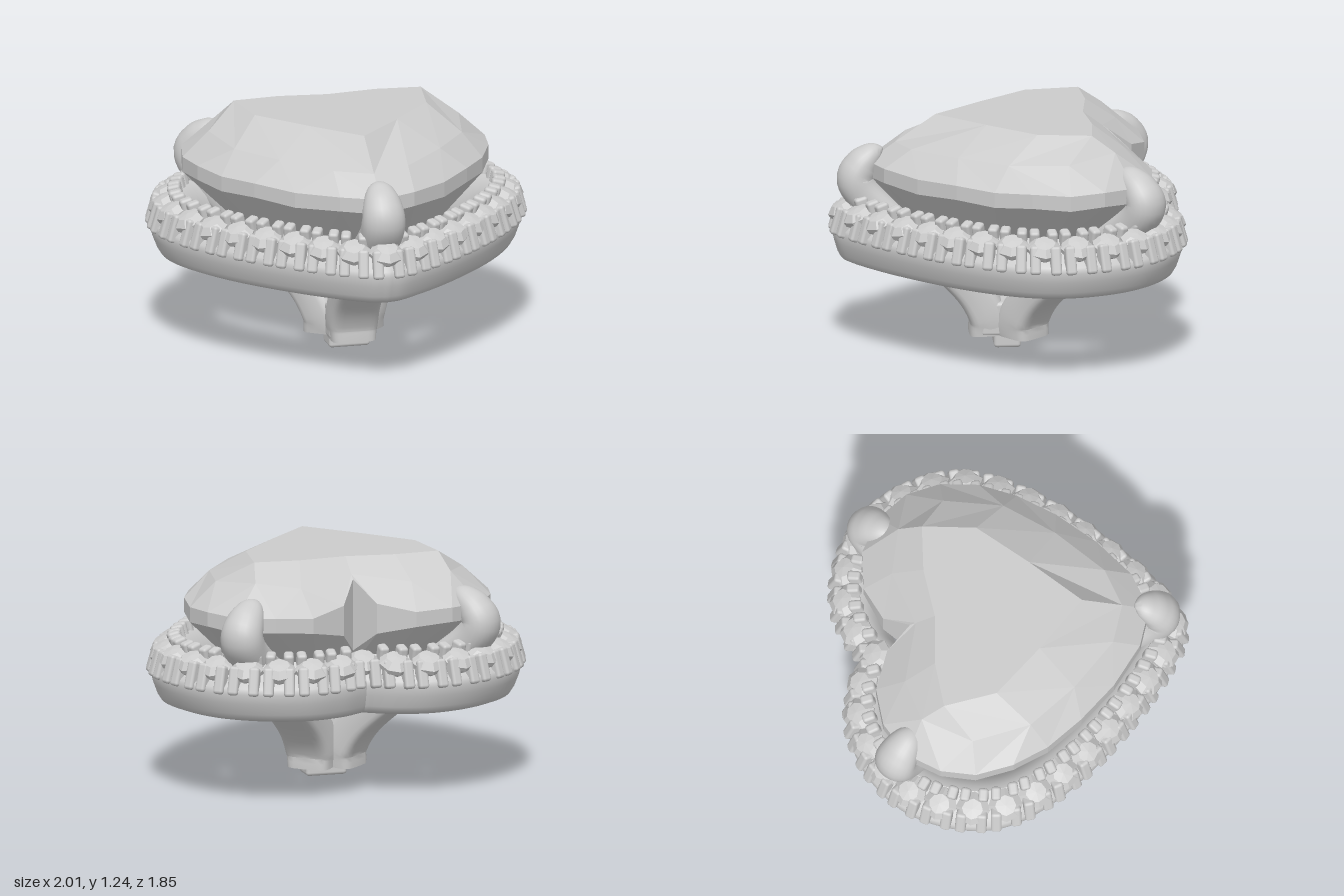
import * as THREE from 'three';
import { toCreasedNormals } from 'three/addons/utils/BufferGeometryUtils.js';
import { RoundedBoxGeometry } from 'three/addons/geometries/RoundedBoxGeometry.js';

const V = (x, y, z) => new THREE.Vector3(x, y, z);
const smooth = new THREE.MeshStandardMaterial({ color: 0xcccccc });
const faceted = new THREE.MeshStandardMaterial({ color: 0xcccccc, flatShading: true });

function add(parent, name, geometry, material = smooth) {
  const mesh = new THREE.Mesh(geometry, material);
  mesh.name = name;
  parent.add(mesh);
  return mesh;
}

// Skin over equal-length closed rings of points; caps close the two ends
function skin(rings, { closed = false, crease = 0.6 } = {}) {
  const n = rings[0].length, m = rings.length, index = [];
  for (let i = 0; i < (closed ? m : m - 1); i++) {
    for (let j = 0; j < n; j++) {
      const a = i * n + j, b = i * n + (j + 1) % n;
      const c = ((i + 1) % m) * n + j, d = ((i + 1) % m) * n + (j + 1) % n;
      index.push(a, b, c, b, d, c);
    }
  }
  if (!closed) {
    for (let j = 1; j < n - 1; j++) {
      index.push(0, j + 1, j);
      index.push((m - 1) * n, (m - 1) * n + j, (m - 1) * n + j + 1);
    }
  }
  const g = new THREE.BufferGeometry().setFromPoints(rings.flat());
  g.setIndex(index);
  return toCreasedNormals(g, crease);
}

// Half heart, from cleft over the +x lobe down to the tip
const halfHeart = (pairs) => new THREE.CatmullRomCurve3(pairs.map(([x, z]) => V(x, 0, z)), false, 'catmullrom', 0.5);
const outerPts = [[0, -0.78], [0.15, -0.86], [0.35, -0.9], [0.6, -0.84], [0.82, -0.68], [0.95, -0.44],
  [0.985, -0.18], [0.9, 0.08], [0.7, 0.37], [0.4, 0.67], [0.13, 0.87], [0, 0.91]];
const innerPts = [[0, -0.5], [0.13, -0.59], [0.31, -0.62], [0.46, -0.56], [0.58, -0.45], [0.645, -0.31],
  [0.66, -0.15], [0.6, 0.01], [0.47, 0.2], [0.26, 0.43], [0.07, 0.6], [0, 0.64]];
const outer = halfHeart(outerPts), inner = halfHeart(innerPts);
const middle = halfHeart(outerPts.map(([x, z], i) => [x * 0.75 + innerPts[i][0] * 0.25, z * 0.75 + innerPts[i][1] * 0.25]));

// Point on the halo: t along the half heart, f from inner to outer edge
function haloPoint(t, f, y, side) {
  const p = inner.getPoint(t).lerp(outer.getPoint(t), f);
  return V(p.x * side, y, p.z);
}

function haloBand() {
  const profile = [[0, 0.5], [0.06, 0.475], [0.2, 0.465], [0.7, 0.465], [0.82, 0.48], [0.88, 0.51], [0.95, 0.57],
    [0.99, 0.62], [0.97, 0.65], [0.85, 0.68], [0.65, 0.73], [0.5, 0.77], [0.4, 0.76], [0.2, 0.7], [0.04, 0.6]];
  const rings = [], n = 80;
  for (let i = 0; i < 2 * n; i++) {
    const side = i <= n ? 1 : -1, t = (i <= n ? i : 2 * n - i) / n;
    rings.push(profile.map(([f, y]) => haloPoint(t, f, y, side)));
  }
  return skin(rings, { closed: true, crease: 0.9 });
}

// Small stones all round the halo, with claws between them
function pave(parent) {
  const count = 16;
  const stoneGeo = new THREE.LatheGeometry([[0.03, -0.07], [0.086, -0.015], [0.09, 0.01], [0.055, 0.042], [0, 0.048]]
    .map(([r, y]) => new THREE.Vector2(r, y)), 8);
  const outerClaw = new RoundedBoxGeometry(0.056, 0.15, 0.065, 2, 0.016);
  const innerClaw = new RoundedBoxGeometry(0.052, 0.12, 0.07, 2, 0.016);
  const place = (name, geo, mat, u, f, y, side, tilt) => {
    const t = middle.getUtoTmapping(u);
    const out = haloPoint(t, 1, 0, side).sub(haloPoint(t, 0, 0, side)).normalize();
    const up = V(0, Math.cos(tilt), 0).addScaledVector(out, Math.sin(tilt));
    const along = V(0, 1, 0).cross(out).normalize();
    const mesh = add(parent, name, geo, mat);
    mesh.quaternion.setFromRotationMatrix(new THREE.Matrix4().makeBasis(along, up, along.clone().cross(up)));
    mesh.position.copy(haloPoint(t, f, y, side));
  };
  for (const side of [1, -1]) {
    for (let i = 0; i <= count; i++) {
      const onAxis = i === 0 || i === count;
      if (side === 1 || !onAxis) place('haloStone', stoneGeo, faceted, i / count, 0.75, 0.735, side, 0.45);
      if (i === count) continue;
      for (const k of [0.29, 0.71]) {
        place('outerClaw', outerClaw, smooth, (i + k) / count, 0.905, 0.685, side, -0.28);
        // no room for inner claws right at the cleft
        if (i + k > 0.5) place('innerClaw', innerClaw, smooth, (i + k) / count, 0.57, 0.765, side, 0.25);
      }
    }
  }
}

// Heart-cut gem: facet strips between half loops, mirrored in x
function heartGem() {
  const pos = [];
  const tri = (a, b, c) => {
    for (const p of [a, b, c]) pos.push(p.x, p.y, p.z);
    for (const p of [a, c, b]) pos.push(-p.x, p.y, p.z);
  };
  const strip = (A, B) => { // A is the upper loop, B the lower one
    let i = 0, j = 0;
    const na = A.length - 1, nb = B.length - 1;
    while (i < na || j < nb) {
      const stepB = i === na || (j < nb && (j + 1) / nb <= (i + 1) / na);
      if (stepB) { tri(B[j], A[i], B[j + 1]); j++; } else { tri(B[j], A[i], A[i + 1]); i++; }
    }
  };
  const outline = [[0, -0.53], [0.09, -0.66], [0.28, -0.74], [0.48, -0.725], [0.66, -0.62], [0.77, -0.46],
    [0.81, -0.28], [0.78, -0.08], [0.7, 0.11], [0.57, 0.3], [0.4, 0.49], [0.2, 0.65], [0, 0.72]];
  const table = [[0, -0.4], [0.26, -0.43], [0.5, -0.41], [0.46, -0.13], [0.24, 0.12], [0, 0.37]].map(([x, z]) => V(x, 1.235, z));
  const crown = [[0, -0.5, 1.16], [0.3, -0.59, 1.12], [0.53, -0.53, 1.15], [0.67, -0.28, 1.12], [0.61, 0.03, 1.11],
    [0.43, 0.28, 1.11], [0.2, 0.51, 1.1], [0, 0.58, 1.09]].map(([x, z, y]) => V(x, y, z));
  const top = outline.map(([x, z], i) => V(x, [1.14, 1.03][i] ?? 0.99 + 0.008 * (i % 2), z));
  const bottom = outline.map(([x, z], i) => V(x, [0.76, 0.87][i] ?? 0.91 + 0.012 * (i % 2), z));
  const pavilion = outline.filter((_, i) => i % 2 === 0).map(([x, z], i) => V(x * 0.6, 0.6, i ? z * 0.6 : -0.4));
  strip([V(0, 1.235, -0.05)], table);
  strip(table, crown);
  strip(crown, top);
  strip(top, bottom);
  strip(bottom, pavilion);
  strip(pavilion, [V(0, 0.27, 0)]);
  const g = new THREE.BufferGeometry();
  g.setAttribute('position', new THREE.Float32BufferAttribute(pos, 3));
  g.computeVertexNormals();
  return g;
}

// Leg rising from the hub and folding over the gem as a rounded prong
function prongLeg(reach) {
  // radius, height, half thickness, half width
  const keys = [[0.095, 0.065, 0.1, 0.12], [0.1, 0.16, 0.1, 0.13], [0.185, 0.305, 0.095, 0.128], [0.37, 0.48, 0.085, 0.124],
    [0.55, 0.64, 0.088, 0.116], [0.72, 0.79, 0.095, 0.112], [0.783, 0.89, 0.1, 0.114], [0.758, 0.965, 0.09, 0.104],
    [0.715, 1.015, 0.07, 0.084], [0.675, 1.045, 0.045, 0.055], [0.645, 1.06, 0.008, 0.01]];
  const path = new THREE.CatmullRomCurve3(keys.map(([r, y]) => V(0, y, r * reach)), false, 'catmullrom', 0.5);
  const size = new THREE.CatmullRomCurve3(keys.map(([, , a, b]) => V(a, b, 0)), false, 'catmullrom', 0.5);
  const rings = [], steps = 50, n = 24;
  const round = (v, e) => Math.sign(v) * Math.abs(v) ** e;
  for (let i = 0; i <= steps; i++) {
    const t = i / steps, c = path.getPoint(t), s = size.getPoint(t), d = path.getTangent(t);
    const normal = V(0, -d.z, d.y);
    const e = THREE.MathUtils.lerp(0.45, 1, THREE.MathUtils.smoothstep(t, 0.3, 0.65));
    const ring = [];
    for (let j = 0; j < n; j++) {
      const a = j / n * Math.PI * 2;
      ring.push(c.clone().addScaledVector(normal, s.x * round(Math.cos(a), e)).add(V(s.y * round(Math.sin(a), e), 0, 0)));
    }
    rings.push(ring);
  }
  return skin(rings, { crease: 0.8 });
}

export function createModel() {
  const model = new THREE.Group();
  model.name = 'heartSetting';

  add(model, 'heartGem', heartGem(), faceted);

  const halo = new THREE.Group();
  halo.name = 'halo';
  model.add(halo);
  add(halo, 'haloBand', haloBand());
  pave(halo);

  // One leg at the tip, two at the lobes
  const rear = Math.atan2(0.65, -0.68);
  add(model, 'frontLeg', prongLeg(1));
  add(model, 'leftRearLeg', prongLeg(1.2)).rotation.y = rear;
  add(model, 'rightRearLeg', prongLeg(1.2)).rotation.y = -rear;

  // Hub where the legs meet, and the peg beneath it
  add(model, 'hub', new RoundedBoxGeometry(0.25, 0.18, 0.3, 3, 0.02)).position.set(0, 0.156, -0.01);
  add(model, 'peg', new RoundedBoxGeometry(0.22, 0.12, 0.14, 3, 0.018)).position.set(0, 0.06, 0);
  return model;
}
